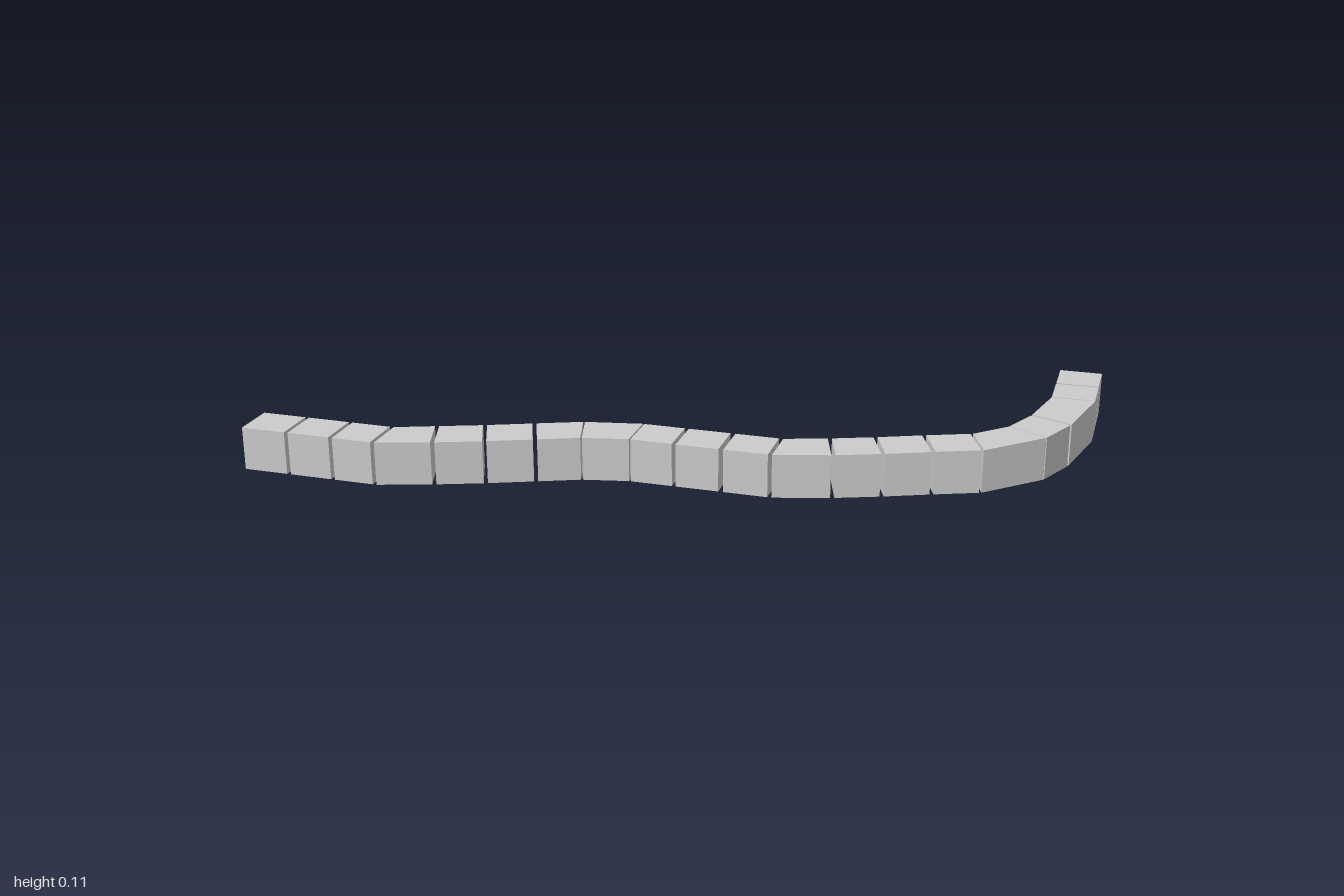
import * as THREE from 'three';

const HEIGHT = 0.11;
const HALF_WIDTH = 0.055;

// Joints along the winding row: [x, z, heading in degrees, gap]
const joints = [
  [-1, 0.455, 0, 0], [-0.88, 0.455, 0, 0.01], [-0.76, 0.455, 0, 0.01],
  [-0.648, 0.455, 0, 0.01], [-0.526, 0.415, 18, 0.01], [-0.412, 0.373, 21.5, 0.01],
  [-0.299, 0.327, 22, 0.01], [-0.19, 0.283, 16, 0.004], [-0.059, 0.256, 0, 0.004],
  [0.053, 0.256, 0, 0.01], [0.171, 0.256, 0, 0.012], [0.292, 0.256, 0, 0.01],
  [0.421, 0.218, 17, 0.01], [0.529, 0.177, 21, 0.01], [0.641, 0.13, 21.5, 0.01],
  [0.751, 0.086, 22, 0.006], [0.86, -0.016, 62.5, 0.003], [0.906, -0.117, 68, 0.008],
  [0.945, -0.288, 90, 0.004], [0.945, -0.398, 90, 0.009], [0.945, -0.51, 90, 0],
];

// Point on a joint's cut, offset along the row and sideways
function cutPoint([x, z, degrees, gap], end, side) {
  const a = THREE.MathUtils.degToRad(degrees);
  const along = end * gap / 2;
  const across = side * HALF_WIDTH;
  return [
    x + Math.cos(a) * along + Math.sin(a) * across,
    z - Math.sin(a) * along + Math.cos(a) * across,
  ];
}

// Box whose two ends are swung to lie on the neighbouring joints
function blockGeometry(start, end) {
  const geometry = new THREE.BoxGeometry(1, HEIGHT, 1).toNonIndexed();
  const p = geometry.attributes.position;
  for (let i = 0; i < p.count; i++) {
    const side = Math.sign(p.getZ(i));
    const [x, z] = p.getX(i) < 0 ? cutPoint(start, 1, side) : cutPoint(end, -1, side);
    p.setXYZ(i, x, p.getY(i) + HEIGHT / 2, z);
  }
  geometry.computeVertexNormals();
  return geometry;
}

export function createModel() {
  const group = new THREE.Group();
  group.name = 'curvedBlockRow';
  const material = new THREE.MeshStandardMaterial({ color: 0xcccccc, flatShading: true });
  for (let i = 0; i < joints.length - 1; i++) {
    const block = new THREE.Mesh(blockGeometry(joints[i], joints[i + 1]), material);
    block.name = `block${i + 1}`;
    group.add(block);
  }
  return group;
}
